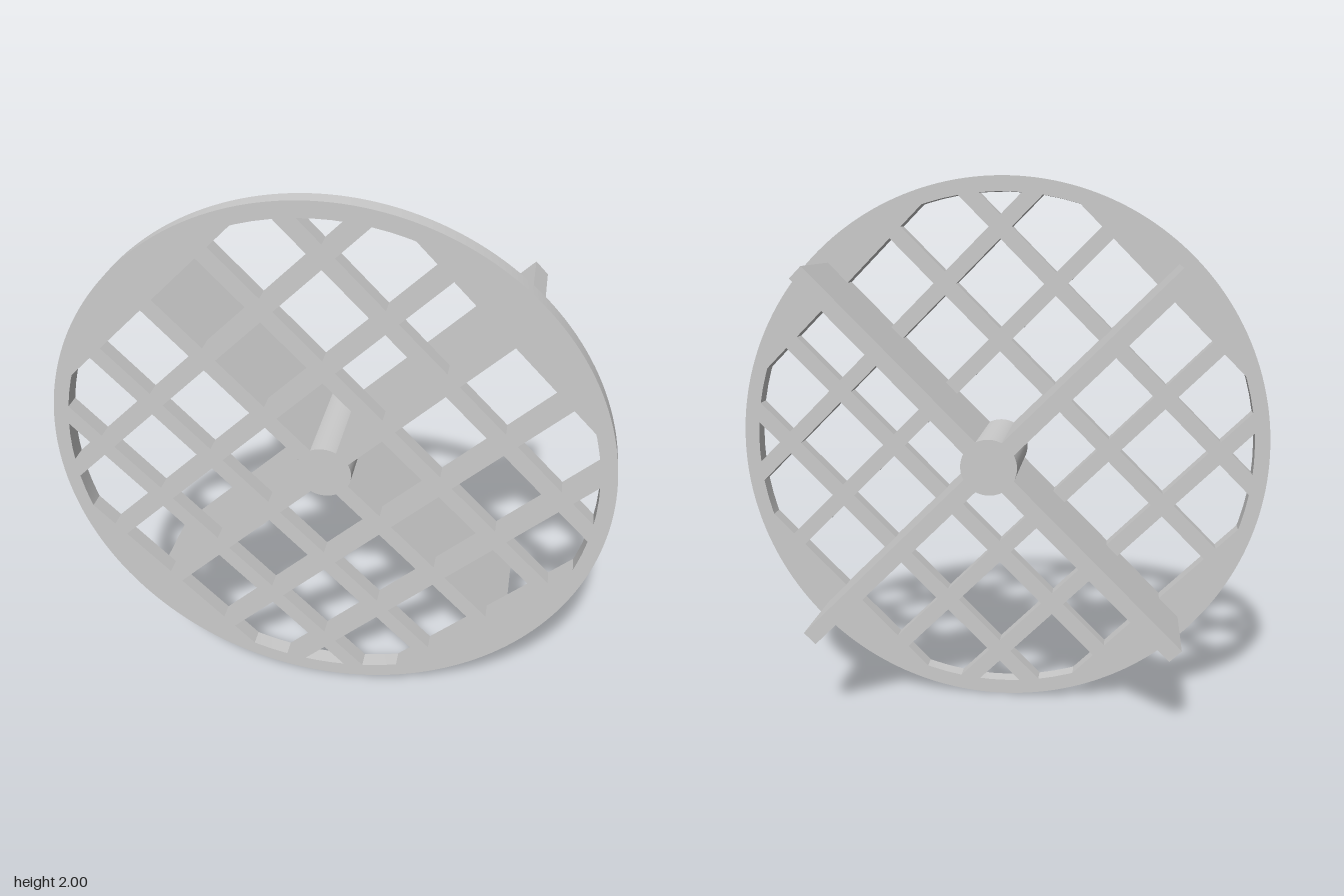
import * as THREE from 'three';
import { toCreasedNormals } from 'three/addons/utils/BufferGeometryUtils.js';

const PITCH = 0.29, BAR = 0.06, INNER = 0.944, HUB = 0.1;
const BACK = -0.197, PLATE = 0.137, FRONT = 0.197;

// Cut a polygon down to the part inside a circle (a many-sided polygon).
function clipToCircle(points, radius, sides = 96) {
  for (let k = 0; k < sides; k++) {
    const a = (k / sides) * Math.PI * 2;
    const dist = p => radius - p.x * Math.cos(a) - p.y * Math.sin(a);
    const out = [];
    points.forEach((p, i) => {
      const q = points[(i + 1) % points.length];
      const dp = dist(p), dq = dist(q);
      if (dp >= 0) out.push(p);
      if ((dp > 0 && dq < 0) || (dp < 0 && dq > 0)) out.push(p.clone().lerp(q, dp / (dp - dq)));
    });
    points = out;
  }
  return points;
}

export function createModel() {
  const material = new THREE.MeshStandardMaterial({ color: 0xcccccc });
  const model = new THREE.Group();
  model.name = 'roundGrate';

  // Everything is laid out on a square lattice, then turned 45 degrees.
  const grate = new THREE.Group();
  grate.name = 'grate';
  grate.position.y = 1;
  grate.rotation.z = Math.PI / 4;
  model.add(grate);

  const add = (name, geometry) => {
    const mesh = new THREE.Mesh(geometry, material);
    mesh.name = name;
    grate.add(mesh);
    return mesh;
  };

  // Round plate with a lattice of square holes, trimmed by the rim
  const disc = new THREE.Shape().absarc(0, 0, 1, 0, Math.PI * 2, false);
  const half = (PITCH - BAR) / 2;
  for (let i = -3; i < 3; i++) {
    for (let j = -3; j < 3; j++) {
      const cx = (i + 0.5) * PITCH, cy = (j + 0.5) * PITCH;
      const square = [[-1, -1], [1, -1], [1, 1], [-1, 1]]
        .map(([x, y]) => new THREE.Vector2(cx + x * half, cy + y * half));
      const hole = clipToCircle(square, INNER);
      if (hole.length > 2) disc.holes.push(new THREE.Path(hole.reverse()));
    }
  }
  const plate = new THREE.ExtrudeGeometry(disc, {
    depth: FRONT - PLATE, bevelEnabled: false, curveSegments: 96,
  });
  plate.translate(0, 0, PLATE);
  add('latticePlate', toCreasedNormals(plate, 0.4));

  // Central hub running the full depth
  const hub = new THREE.CylinderGeometry(HUB, HUB, FRONT - BACK, 48);
  hub.rotateX(Math.PI / 2);
  add('hub', hub);

  // Four deep vanes crossing behind the plate
  for (let k = 0; k < 4; k++) {
    const vane = new THREE.BoxGeometry(INNER - 0.05, BAR, PLATE - BACK);
    vane.translate((INNER + 0.05) / 2, 0, (PLATE + BACK) / 2);
    add('vane', vane).rotation.z = (k * Math.PI) / 2;
  }

  return model;
}
